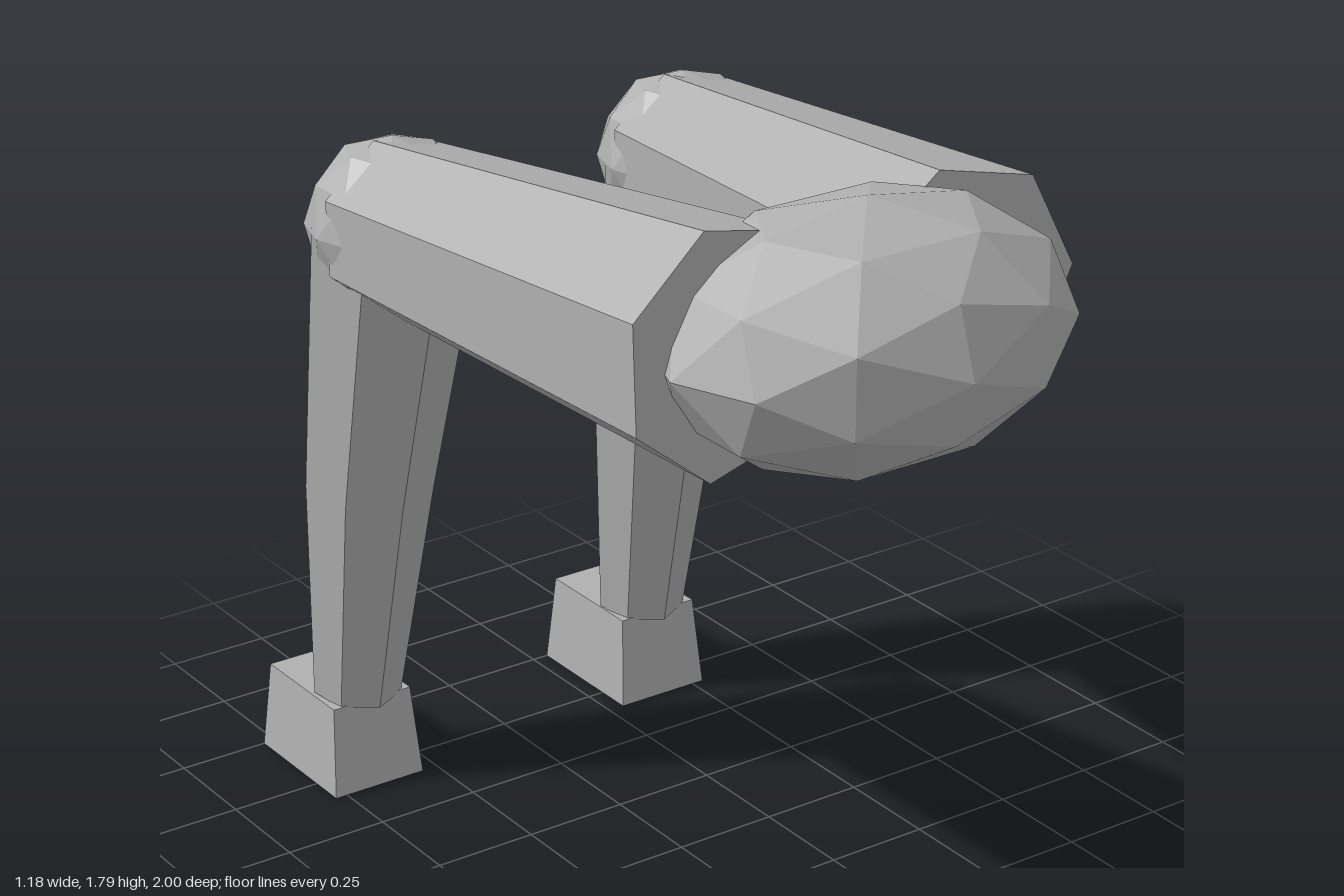
import * as THREE from 'three';

// Seven-sided tapered limb following a short path; startAngle turns the first corner from +z towards +x
function limb(points, radii, startAngle) {
  const n = points.length - 1;
  const geo = new THREE.CylinderGeometry(1, 1, 1, 7, n, false, startAngle);
  const rings = points.map((p, i) => {
    const along = points[Math.min(i + 1, n)].clone().sub(points[Math.max(i - 1, 0)]).normalize();
    const side = new THREE.Vector3(1, 0, 0).addScaledVector(along, -along.x).normalize();
    const frame = new THREE.Matrix4().makeBasis(side, along, side.clone().cross(along));
    return frame.setPosition(p);
  });
  const pos = geo.attributes.position;
  const v = new THREE.Vector3();
  for (let i = 0; i < pos.count; i++) {
    v.fromBufferAttribute(pos, i);
    const ring = Math.round((v.y + 0.5) * n);
    v.set(v.x * radii[ring], 0, v.z * radii[ring]).applyMatrix4(rings[ring]);
    pos.setXYZ(i, v.x, v.y, v.z);
  }
  geo.computeVertexNormals();
  return geo;
}

// Block foot, narrower at the top
function footGeometry() {
  const geo = new THREE.BoxGeometry(0.24, 0.22, 0.34);
  const pos = geo.attributes.position;
  for (let i = 0; i < pos.count; i++) {
    if (pos.getY(i) > 0) {
      pos.setX(i, pos.getX(i) * 0.87);
      pos.setZ(i, pos.getZ(i) * 0.87);
    }
  }
  geo.computeVertexNormals();
  return geo;
}

export function createModel() {
  const model = new THREE.Group();
  model.name = 'leggedHips';
  const grey = new THREE.MeshStandardMaterial({ color: 0xb0b0b0, flatShading: true });
  grey.name = 'grey';

  const add = (parent, name, geo, x = 0, y = 0, z = 0) => {
    const mesh = new THREE.Mesh(geo, grey);
    mesh.name = name;
    mesh.position.set(x, y, z);
    parent.add(mesh);
    return mesh;
  };

  // Faceted pelvis
  const pelvis = new THREE.IcosahedronGeometry(1, 1).scale(0.485, 0.29, 0.355);
  add(model, 'pelvis', pelvis, 0, 1.5, 0.645);

  // Legs: positions mirror, corner directions stay the same on both sides
  for (const s of [1, -1]) {
    const leg = new THREE.Group();
    leg.name = s > 0 ? 'leftLeg' : 'rightLeg';
    model.add(leg);

    const hip = new THREE.Vector3(s * 0.3, 1.505, 0.595);
    const knee = new THREE.Vector3(s * 0.39, 1.455, -0.545);
    const calf = new THREE.Vector3(s * 0.4, 0.785, -0.68);
    const ankle = new THREE.Vector3(s * 0.408, 0.222, -0.755);

    add(leg, 'thigh', limb([hip, knee], [0.276, 0.2], Math.PI / 2));
    add(leg, 'knee', new THREE.IcosahedronGeometry(0.2, 1), knee.x, knee.y, knee.z);
    add(leg, 'shin', limb([ankle, calf, knee], [0.105, 0.151, 0.192], 0));
    add(leg, 'foot', footGeometry(), s * 0.41, 0.11, -0.83);
  }
  return model;
}
